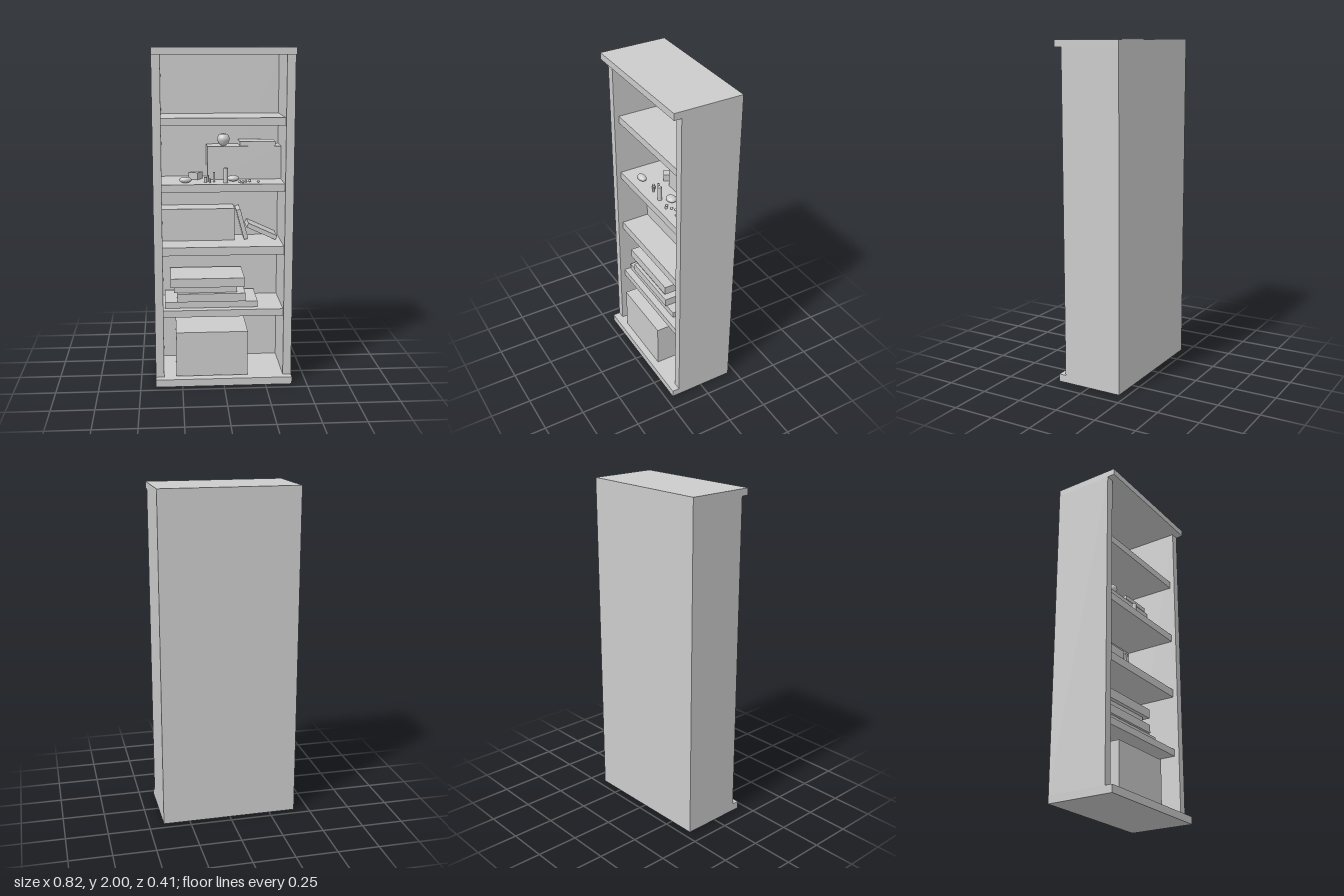
import * as THREE from 'three';

export function createModel() {
  const model = new THREE.Group();
  const mat = new THREE.MeshStandardMaterial({ color: 0xcccccc });

  const add = (name, geometry, x = 0, y = 0, z = 0, parent = model) => {
    const mesh = new THREE.Mesh(geometry, mat);
    mesh.name = name;
    mesh.position.set(x, y, z);
    parent.add(mesh);
    return mesh;
  };
  // box given by its limits on each axis
  const box = (name, x0, x1, y0, y1, z0, z1, parent) =>
    add(name, new THREE.BoxGeometry(x1 - x0, y1 - y0, z1 - z0),
      (x0 + x1) / 2, (y0 + y1) / 2, (z0 + z1) / 2, parent);
  const group = (name) => {
    const g = new THREE.Group();
    g.name = name;
    model.add(g);
    return g;
  };

  // Cabinet: plates, sides, back and shelves
  const cabinet = group('cabinet');
  box('basePlate', -0.41, 0.41, 0, 0.045, -0.205, 0.205, cabinet);
  box('topPlate', -0.41, 0.41, 1.96, 2, -0.205, 0.205, cabinet);
  for (const s of [-1, 1]) {
    add(s < 0 ? 'rightSide' : 'leftSide', new THREE.BoxGeometry(0.05, 1.915, 0.365),
      s * 0.385, 1.0025, -0.0225, cabinet);
  }
  box('backPanel', -0.36, 0.36, 0.045, 1.96, -0.205, -0.197, cabinet);
  for (const [bottom, top] of [[0.41, 0.452], [0.79, 0.84], [1.17, 1.216], [1.558, 1.602]]) {
    box('shelf', -0.36, 0.36, bottom, top, -0.197, 0.13, cabinet);
  }

  // Storage box on the base
  box('storageBox', -0.285, 0.145, 0.05, 0.325, -0.17, 0.163);

  // Stack of flat boxes
  const stack = group('flatBoxStack');
  for (const [x0, x1, y0, y1, z1] of [
    [-0.35, 0.21, 0.455, 0.492, 0.09],
    [-0.275, 0.135, 0.495, 0.545, 0.1],
    [-0.295, 0.085, 0.547, 0.582, 0.08],
    [-0.315, 0.13, 0.585, 0.64, 0.1],
  ]) box('flatBox', x0, x1, y0, y1, -0.17, z1, stack);

  // Row of books with two leaning ones
  const books = group('books');
  box('bookRow', -0.36, 0.08, 0.84, 1.037, -0.19, -0.047, books);
  add('leaningBook', new THREE.BoxGeometry(0.026, 0.19, 0.145), 0.127, 0.938, -0.115, books)
    .rotation.z = 0.26;
  add('fallenBook', new THREE.BoxGeometry(0.195, 0.028, 0.145), 0.248, 0.892, -0.115, books)
    .rotation.z = -0.43;

  // Large box with a flat box and an apple on top
  box('largeBox', -0.085, 0.36, 1.217, 1.416, -0.19, -0.05);
  box('smallFlatBox', 0.11, 0.325, 1.418, 1.445, -0.17, -0.048);
  const appleProfile = [[0, 0.008], [0.012, 0], [0.025, 0.008], [0.036, 0.03],
    [0.037, 0.046], [0.028, 0.064], [0.014, 0.069], [0, 0.06]];
  const curve = new THREE.SplineCurve(appleProfile.map(([x, y]) => new THREE.Vector2(x, y)));
  const lathePoints = curve.getPoints(20).map((p) => new THREE.Vector2(Math.max(0, p.x), p.y));
  const apple = group('apple');
  add('appleBody', new THREE.LatheGeometry(lathePoints, 24), 0.015, 1.417, -0.1, apple);
  add('appleStem', new THREE.CylinderGeometry(0.002, 0.0015, 0.014, 8), 0.015, 1.484, -0.1, apple);

  // Ornaments on the open part of the shelf
  const ornaments = group('ornaments');
  const floor = 1.216;
  for (const [x, z, rx, rz] of [[-0.22, 0.06, 0.037, 0.025], [0.065, 0.02, 0.036, 0.03]]) {
    add('shell', new THREE.SphereGeometry(1, 20, 12), x, floor + 0.018, z, ornaments)
      .scale.set(rx, 0.018, rz);
  }
  add('smallBox', new THREE.BoxGeometry(0.06, 0.042, 0.065), -0.155, floor + 0.021, -0.09, ornaments)
    .rotation.y = -0.5;
  for (const [x, z, radius, height] of [
    [0.017, 0.07, 0.013, 0.088],
    [-0.05, 0.04, 0.007, 0.058],
    [-0.1, 0.045, 0.009, 0.03],
    [-0.085, 0.02, 0.006, 0.038],
    [-0.075, 0.06, 0.006, 0.024],
  ]) {
    add('figurine', new THREE.CylinderGeometry(radius, radius, height, 12),
      x, floor + height / 2, z, ornaments);
  }
  for (const [x, z] of [[0.1, 0.07], [0.118, 0.085], [0.138, 0.06], [0.162, 0.045], [0.21, 0.07]]) {
    add('pebble', new THREE.SphereGeometry(0.008, 10, 8), x, floor + 0.007, z, ornaments);
  }
  return model;
}
